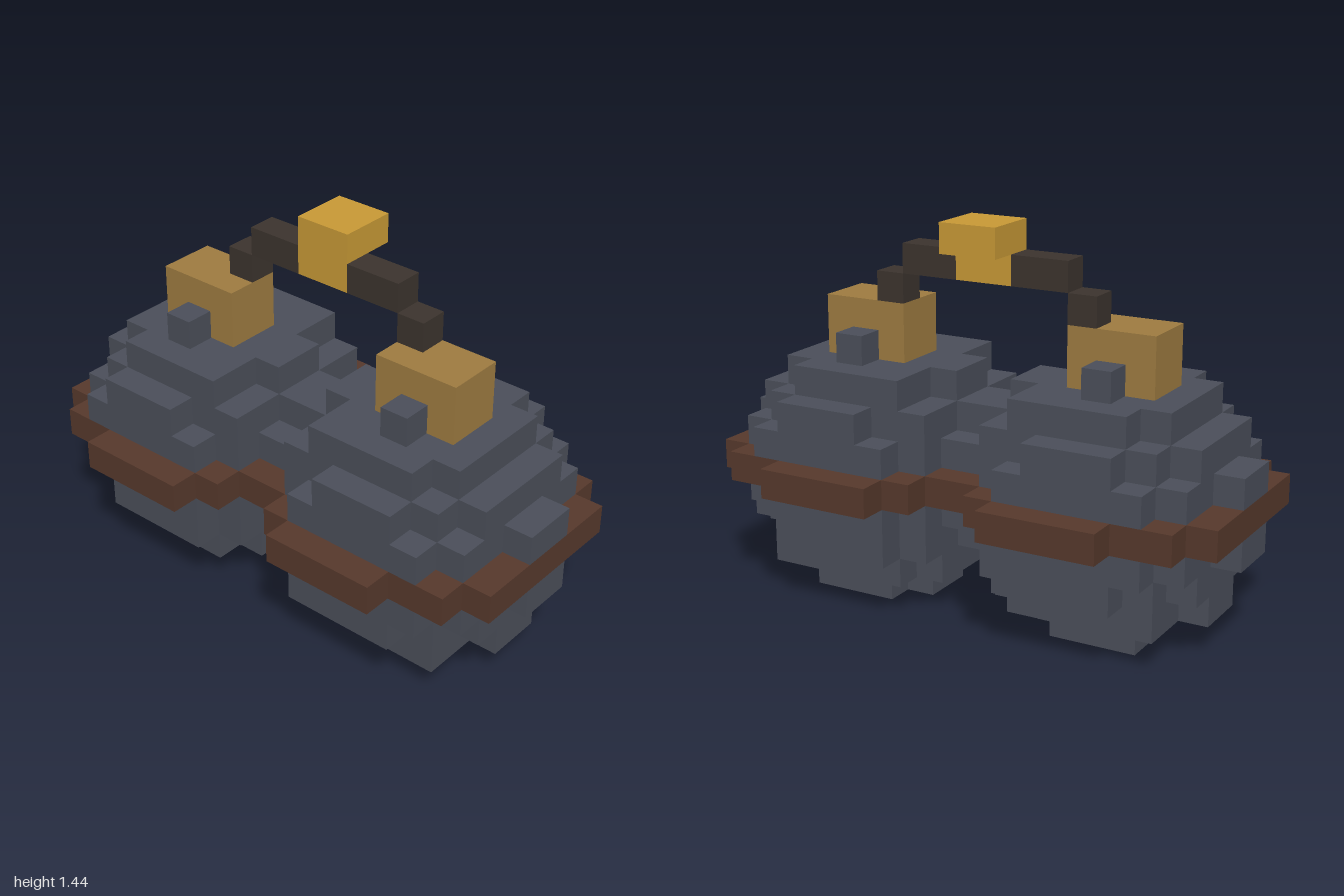
import * as THREE from 'three';

const U = 1 / 9; // edge of one block

const mat = (name, color) => {
  const m = new THREE.MeshStandardMaterial({ color });
  m.name = name;
  return m;
};

// Rounded pouch: blocks inside a sphere, mirrored to left and right
function inPouch(x, y, z) {
  if (y === 4 || y < 0 || y > 8) return false;       // row 4 is the band
  if (y === 8 && Math.abs(z + 0.5) < 1) return false; // seat of the mount
  const dx = Math.abs(x + 0.5) - 4.3, dy = y + 0.5 - 4.35, dz = z + 0.5;
  return dx * dx + dy * dy + dz * dz < 19.85;
}

// Band: one row of blocks around both pouches, wider than them
function inBand(x, y, z) {
  if (y !== 4) return false;
  const ax = Math.abs(x + 0.5), az = Math.abs(z + 0.5);
  if (az < 3) return ax < 9;
  if (az < 4) return ax > 1 && ax < 8;
  return az < 5 && ax > 2 && ax < 6;
}

const filled = (x, y, z) => inPouch(x, y, z) || inBand(x, y, z);

// Collects the exposed faces of all blocks that pass the test
function blockGeometry(test) {
  const pos = [], nor = [], idx = [];
  const corners = [[-1, -1], [1, -1], [1, 1], [-1, 1]];
  const addFace = (c, axis, s) => {
    const base = pos.length / 3, u = (axis + 1) % 3, v = (axis + 2) % 3;
    for (const [a, b] of corners) {
      const p = [0, 0, 0], n = [0, 0, 0];
      p[axis] = c[axis] + 0.5 + s / 2;
      p[u] = c[u] + 0.5 + (a * s) / 2;
      p[v] = c[v] + 0.5 + b / 2;
      n[axis] = s;
      pos.push(p[0] * U, p[1] * U, p[2] * U);
      nor.push(...n);
    }
    idx.push(base, base + 1, base + 2, base, base + 2, base + 3);
  };
  for (let x = -9; x < 9; x++)
    for (let y = 0; y < 9; y++)
      for (let z = -5; z < 5; z++) {
        if (!test(x, y, z)) continue;
        for (let axis = 0; axis < 3; axis++)
          for (const s of [-1, 1]) {
            const n = [x, y, z];
            n[axis] += s;
            if (!filled(...n)) addFace([x, y, z], axis, s);
          }
      }
  const g = new THREE.BufferGeometry();
  g.setAttribute('position', new THREE.Float32BufferAttribute(pos, 3));
  g.setAttribute('normal', new THREE.Float32BufferAttribute(nor, 3));
  g.setIndex(idx);
  return g;
}

export function createModel() {
  const group = new THREE.Group();
  const slate = mat('slate', 0x4b4f5a);
  const leather = mat('brownLeather', 0x57392c);
  const dark = mat('darkStrap', 0x3c342e);
  const brass = mat('dullBrass', 0x9f7c41);
  const gold = mat('gold', 0xc99a36);

  const add = (name, geometry, material) => {
    const m = new THREE.Mesh(geometry, material);
    m.name = name;
    group.add(m);
    return m;
  };
  // Box between two corners given in blocks
  const box = (name, [x0, y0, z0], [x1, y1, z1], material) =>
    add(name, new THREE.BoxGeometry((x1 - x0) * U, (y1 - y0) * U, (z1 - z0) * U), material)
      .position.set(((x0 + x1) / 2) * U, ((y0 + y1) / 2) * U, ((z0 + z1) / 2) * U);

  add('pouches', blockGeometry(inPouch), slate);
  add('band', blockGeometry(inBand), leather);

  // Mounts and the two halves of the handle
  for (const [side, s] of [['left', 1], ['right', -1]]) {
    const pair = (name, x0, x1, y0, y1, z0, z1, m) =>
      box(side + name, [Math.min(s * x0, s * x1), y0, z0], [Math.max(s * x0, s * x1), y1, z1], m);
    pair('Mount', 3, 6, 8, 10, -1, 1, brass);
    pair('HandlePost', 3, 4, 10, 11, -1, 0, dark);
    pair('HandleBar', 1, 3, 11, 12, -1, 0, dark);
  }

  // Clasp in the middle of the handle, with its hook to the back
  box('clasp', [-1, 11, -1], [1, 12, 0], gold);
  box('claspHook', [-1, 12, -2], [1, 13, 0], gold);

  return group;
}
